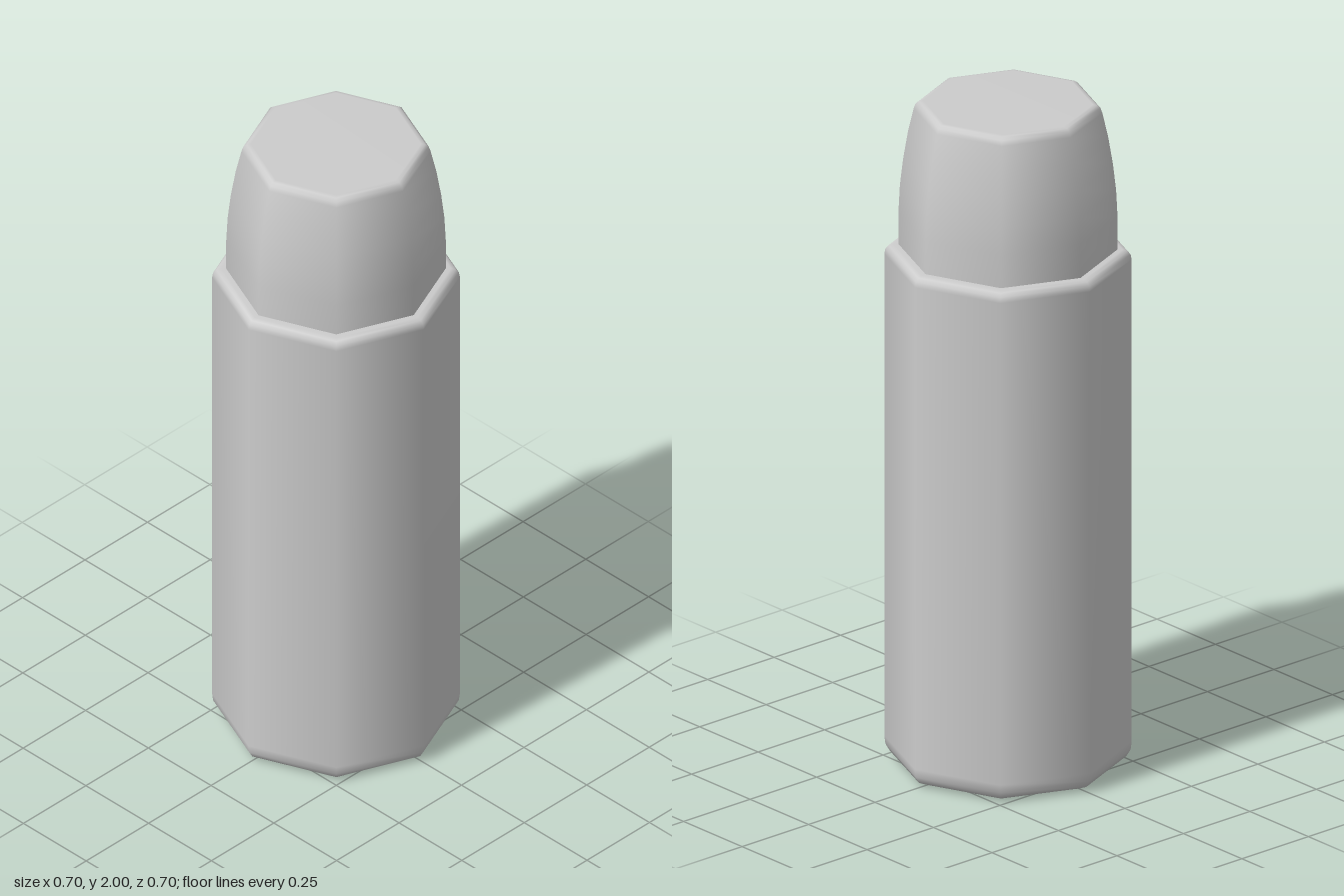
import * as THREE from 'three';

const SIDES = 8;

// Eight-sided turned part; the profile runs from the bottom axis upwards
function turned(name, profile) {
  const points = profile.map(([r, y]) => new THREE.Vector2(r, y));
  const mesh = new THREE.Mesh(
    new THREE.LatheGeometry(points, SIDES),
    new THREE.MeshStandardMaterial({ color: 0xcccccc })
  );
  mesh.name = name;
  return mesh;
}

export function createModel() {
  const group = new THREE.Group();
  group.name = 'bottle';

  // Tall container with bevelled foot and shoulder; close loops keep the flats flat
  group.add(turned('body', [
    [0, 0], [0.29, 0], [0.31, 0.003], [0.335, 0.015], [0.347, 0.035], [0.35, 0.06],
    [0.35, 1.53], [0.347, 1.546], [0.338, 1.556], [0.325, 1.56], [0.3, 1.56], [0, 1.56],
  ]));

  // Slightly barrelled cap narrowing to a flat, softened top
  group.add(turned('cap', [
    [0.31, 1.55], [0.31, 1.66], [0.306, 1.74], [0.297, 1.82], [0.283, 1.905],
    [0.267, 1.975], [0.262, 1.99], [0.252, 1.998], [0.24, 2], [0, 2],
  ]));

  return group;
}
